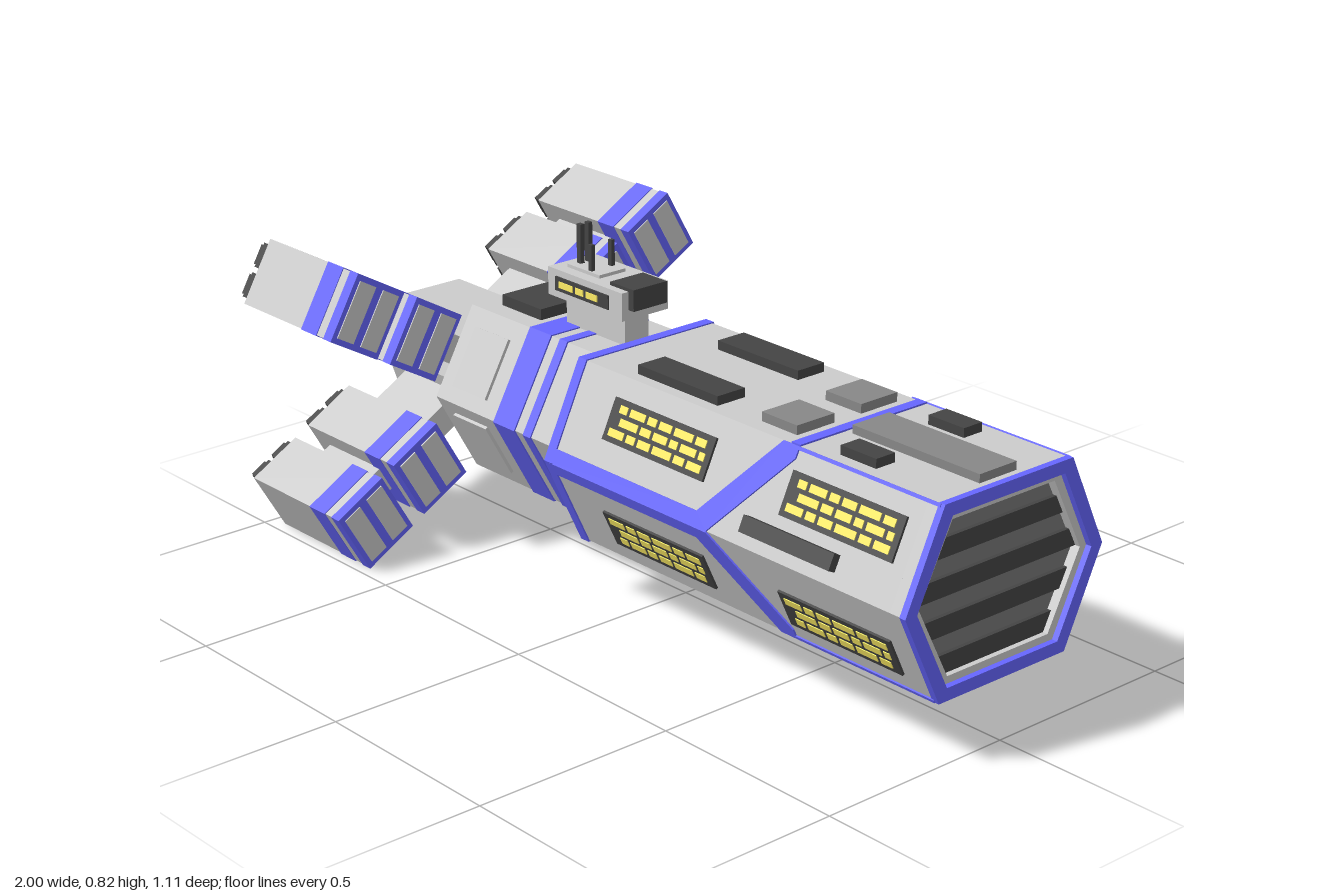
import * as THREE from 'three';

const mat = (color) => new THREE.MeshStandardMaterial({ color, flatShading: true });
const GREY = mat(0xcccccc), BLUE = mat(0x6666ff), DARK = mat(0x444444);
const MID = mat(0x888888), SLAT = mat(0x777777), YELLOW = mat(0xffee66);
const CY = 0.374; // height of the long axis

function add(parent, name, geo, material) {
  const m = new THREE.Mesh(geo, material);
  m.name = name;
  parent.add(m);
  return m;
}

// Box given by its min and max on each axis
function box(parent, name, material, x0, x1, y0, y1, z0, z1) {
  const g = new THREE.BoxGeometry(x1 - x0, y1 - y0, z1 - z0);
  g.translate((x0 + x1) / 2, (y0 + y1) / 2, (z0 + z1) / 2);
  return add(parent, name, g, material);
}

const shapeOf = (pts) => new THREE.Shape(pts.map((p) => new THREE.Vector2(p[0], p[1])));
const hexPoints = (w, top, h) => [[w, 0], [top, h], [-top, h], [-w, 0], [-top, -h], [top, -h]];

// Prism along x from a cross-section drawn in z and y
function prism(parent, name, material, pts, x0, x1, hole) {
  const s = shapeOf(pts);
  if (hole) s.holes.push(shapeOf(hole));
  const g = new THREE.ExtrudeGeometry(s, { depth: x1 - x0, bevelEnabled: false });
  g.rotateY(Math.PI / 2).translate(x0, CY, 0);
  return add(parent, name, g, material);
}

// Runs fn for the four sloping sides; plate() draws on a side in (x, distance from the mid edge)
function onSlopes(parent, name, w, top, h, fn) {
  for (const side of [1, -1]) for (const up of [1, -1]) {
    const g = new THREE.Group();
    g.name = name;
    g.position.set(0, CY, side * w);
    g.rotation.set(-up * Math.atan2(w - top, h), side < 0 ? Math.PI : 0, 0, 'YXZ');
    parent.add(g);
    const plate = (label, material, pts, from, to) => add(g, label, new THREE.ExtrudeGeometry(
      shapeOf(pts.map(([x, v]) => [x * side, v * up])),
      { depth: to - from, bevelEnabled: false }).translate(0, 0, from), material);
    fn(plate, up);
  }
}
const rect = (x0, x1, v0, v1) => [[x0, v0], [x1, v0], [x1, v1], [x0, v1]];

// Rows of uneven lit windows inside a rectangle
function windowRows(x0, x1, v0, v1, rows, draw) {
  const pattern = [0.05, 0.028, 0.04, 0.06, 0.033, 0.045, 0.025];
  const pitch = (v1 - v0) / rows;
  for (let r = 0; r < rows; r++) {
    let x = x0 + 0.012 * ((r * 2) % 3);
    for (let i = r * 3; x < x1 - 0.015; i++) {
      const end = Math.min(x + pattern[i % 7], x1);
      draw(x, end, v0 + pitch * (r + 0.18), v0 + pitch * (r + 0.82));
      x = end + 0.01;
    }
  }
}

function frontHull(root) {
  const g = new THREE.Group();
  g.name = 'frontHull';
  root.add(g);
  const W = 0.295, T = 0.19, H = 0.221;
  const outer = hexPoints(W, T, H), grille = hexPoints(0.243, 0.153, 0.176);
  prism(g, 'hullBody', GREY, outer, -0.14, 0.955);
  prism(g, 'noseCollar', GREY, outer, 0.955, 0.985, grille);
  prism(g, 'noseRim', BLUE, hexPoints(0.297, 0.191, 0.223), 0.983, 1, hexPoints(0.263, 0.168, 0.193));
  prism(g, 'rearRim', BLUE, hexPoints(0.299, 0.193, 0.224), -0.147, -0.12);

  // Nose grille: dark bars over a lighter backing
  prism(g, 'grilleBacking', SLAT, grille, 0.95, 0.962);
  const halfWidth = (y) => 0.243 - Math.abs(y) * (0.09 / 0.176);
  for (let i = 0; i < 4; i++) {
    const y1 = 0.132 - i * 0.088, y0 = y1 - 0.044, a = halfWidth(y0), b = halfWidth(y1);
    prism(g, 'grilleBar', DARK, [[-a, y0], [a, y0], [b, y1], [-b, y1]], 0.96, 0.972);
  }

  // Trim, window banks and side slits
  onSlopes(g, 'hullSide', W, T, H, (plate, up) => {
    plate('trim', BLUE, [[-0.13, 0], [0.4, 0], [0.578, 0.218], [0.578, 0.237], [0.99, 0.237],
      [0.99, 0.245], [0.53, 0.245], [0.355, 0.033], [-0.13, 0.033]], -0.005, 0.004);
    for (const x of [0.01, 0.585]) {
      plate('windowBank', DARK, rect(x, x + 0.335, 0.095, 0.195), -0.005, 0.006);
      windowRows(x + 0.015, x + 0.32, 0.103, 0.187, 3, (a, b, c, d) =>
        plate('window', YELLOW, rect(a, b, c, d), 0, 0.008));
    }
    if (up > 0) plate('sideSlit', DARK, rect(0.505, 0.78, 0.03, 0.068), -0.005, 0.02);
  });

  // Roof and belly fittings
  const top = CY + H, low = CY - H;
  box(g, 'roofTrim', BLUE, 0.55, 0.577, top - 0.01, top + 0.004, -T, T);
  box(g, 'bellyTrim', BLUE, 0.55, 0.577, low - 0.004, low + 0.01, -T, T);
  box(g, 'roofSpine', MID, 0.595, 0.965, top - 0.01, 0.615, -0.055, 0.055);
  for (const s of [1, -1]) {
    const pair = (name, m, x0, x1, z0, z1) =>
      box(g, name, m, x0, x1, top - 0.01, 0.617, s > 0 ? z0 : -z1, s > 0 ? z1 : -z0);
    pair('roofVent', DARK, 0.02, 0.285, 0.08, 0.16);
    pair('roofHatch', MID, 0.415, 0.525, 0.04, 0.15);
    pair('smallVent', DARK, 0.665, 0.77, 0.103, 0.158);
  }
  box(g, 'bellyPlate', GREY, -0.05, 0.475, 0.138, low + 0.01, -0.14, 0.14);
  box(g, 'bellyPlateFront', GREY, 0.59, 0.95, 0.147, low + 0.01, -0.14, 0.14);
}

function midHull(root) {
  const g = new THREE.Group();
  g.name = 'midHull';
  root.add(g);
  const W = 0.235, T = 0.12, H = 0.206;
  prism(g, 'midBody', GREY, hexPoints(W, T, H), -0.633, -0.14);
  for (const [a, b] of [[-0.41, -0.332], [-0.3, -0.273]])
    prism(g, 'band', BLUE, hexPoints(W + 0.004, T + 0.003, H + 0.003), a, b);
  onSlopes(g, 'midSide', W, T, H, (plate) =>
    plate('sidePanel', GREY, rect(-0.585, -0.46, 0.038, 0.19), -0.005, 0.008));
  box(g, 'topHatch', DARK, -0.58, -0.435, 0.57, 0.607, -0.07, 0.07);

  // Tail core with its exhaust
  prism(g, 'tailCore', GREY, hexPoints(0.14, 0.09, 0.14), -0.96, -0.62);
  prism(g, 'exhaust', DARK, hexPoints(0.105, 0.065, 0.11), -0.975, -0.95);
  for (let i = -2; i <= 2; i++)
    box(g, 'exhaustFin', MID, -0.98, -0.97, CY - 0.085, CY + 0.085, i * 0.03 - 0.005, i * 0.03 + 0.005);
}

function bridge(root) {
  const g = new THREE.Group();
  g.name = 'bridge';
  root.add(g);
  box(g, 'bridgeStem', GREY, -0.38, -0.17, 0.57, 0.66, -0.036, 0.036);
  box(g, 'bridgeHead', GREY, -0.405, -0.14, 0.654, 0.722, -0.07, 0.07);
  box(g, 'visor', DARK, -0.205, -0.122, 0.678, 0.73, -0.05, 0.05);
  box(g, 'roofPlate', GREY, -0.37, -0.255, 0.715, 0.73, -0.04, 0.04);
  for (const s of [1, -1]) {
    box(g, 'bridgeWindowBank', DARK, -0.375, -0.185, 0.672, 0.706, s * 0.07 - 0.004, s * 0.07 + 0.004);
    windowRows(-0.36, -0.2, 0.677, 0.701, 1, (a, b, c, d) =>
      box(g, 'bridgeWindow', YELLOW, a, b, c, d, s * 0.07 - 0.006, s * 0.07 + 0.006));
    box(g, 'tallAntenna', DARK, -0.362, -0.348, 0.72, 0.825, s * 0.012 - 0.006, s * 0.012 + 0.006);
    box(g, 'shortAntenna', DARK, -0.3, -0.288, 0.72, 0.793, s * 0.03 - 0.005, s * 0.03 + 0.005);
  }
}

// One engine arm, built pointing out along +z
function engineArm(root, angle) {
  const g = new THREE.Group();
  g.name = 'engineArm';
  g.position.y = CY;
  g.rotation.x = angle;
  root.add(g);
  box(g, 'pylon', GREY, -0.9, -0.695, -0.035, 0.035, 0.05, 0.46);
  for (const r of [0.256, 0.446]) {
    const w = 0.145, t = 0.083, c = r + w / 2;
    box(g, 'enginePod', GREY, -0.955, -0.602, -t, t, r, r + w);
    box(g, 'podBand', BLUE, -0.718, -0.658, -t - 0.002, t + 0.002, r - 0.002, r + w + 0.002);
    box(g, 'podFrontRim', BLUE, -0.63, -0.6, -t - 0.002, t + 0.002, r - 0.002, r + w + 0.002);
    for (const s of [1, -1]) {
      box(g, 'intakePanel', GREY, -0.61, -0.597, -t + 0.012, t - 0.012,
        c + s * 0.0365 - 0.025, c + s * 0.0365 + 0.025);
      for (const q of [1, -1]) {
        const y = q * 0.038, z = c + s * 0.034;
        box(g, 'nozzle', DARK, -0.985, -0.95, y - 0.031, y + 0.031, z - 0.028, z + 0.028);
        box(g, 'nozzleTip', DARK, -1, -0.98, y - 0.025, y + 0.025, z - 0.022, z + 0.022);
      }
    }
  }
}

export function createModel() {
  const root = new THREE.Group();
  root.name = 'spaceship';
  frontHull(root);
  midHull(root);
  bridge(root);
  const tilt = Math.PI / 6;
  for (const a of [tilt, -tilt, Math.PI + tilt, Math.PI - tilt]) engineArm(root, a);
  return root;
}
